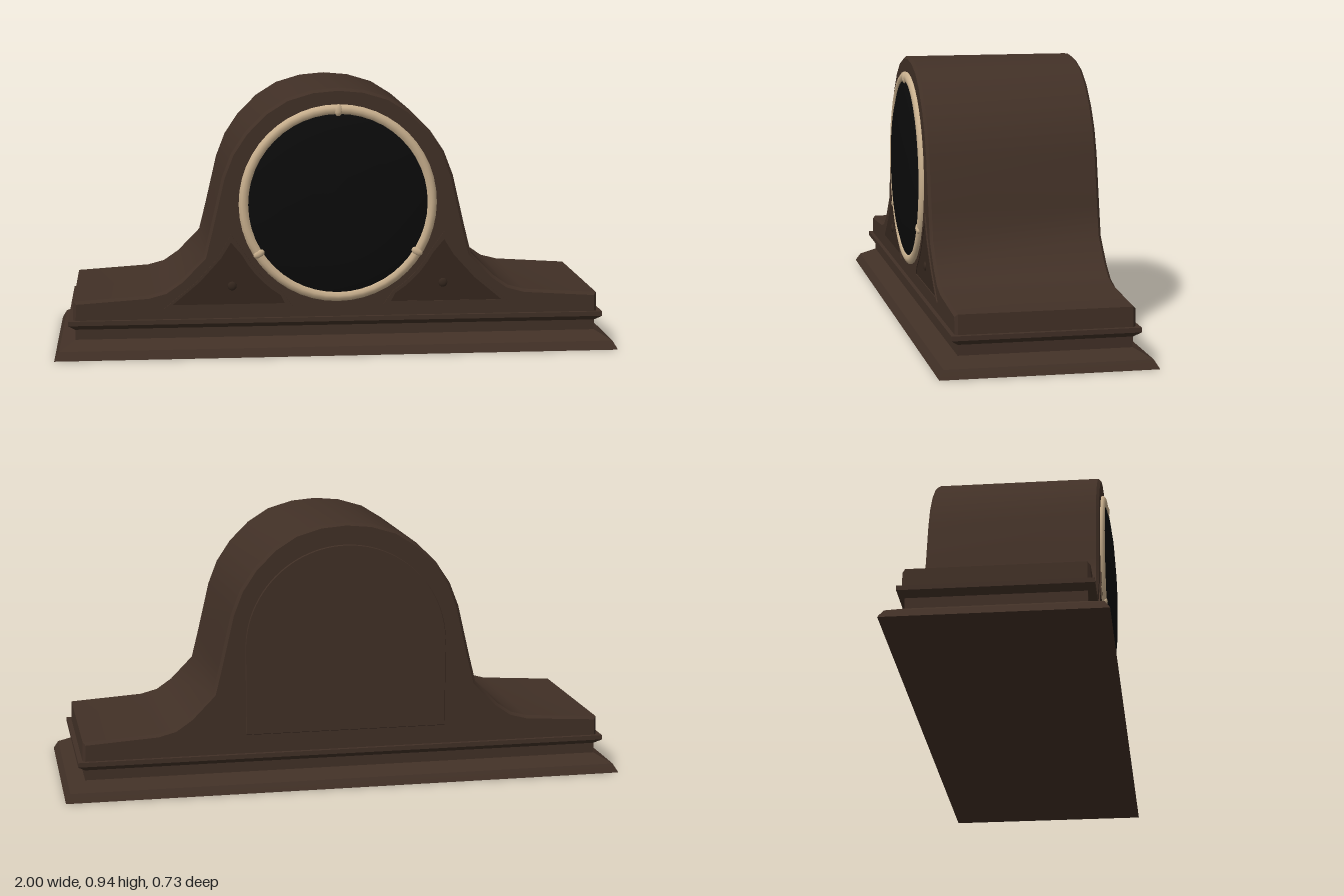
import * as THREE from 'three';
import { toCreasedNormals } from 'three/addons/utils/BufferGeometryUtils.js';

const material = (name, color) => Object.assign(new THREE.MeshStandardMaterial({ color }), { name });

// Extrude an outline forward from z, with an optional chamfer kept inside the outline
function slab(shape, z, depth, bevel = 0) {
  const geometry = new THREE.ExtrudeGeometry(shape, {
    depth: depth - 2 * bevel, bevelEnabled: bevel > 0, bevelSize: bevel,
    bevelThickness: bevel, bevelOffset: -bevel, bevelSegments: 1, curveSegments: 24,
  });
  geometry.translate(0, 0, z + bevel);
  return toCreasedNormals(geometry, 0.55);
}

// Stack of rectangular rings [y, half depth]; the half width grows with the depth
function moulding(profile, widthExtra) {
  const positions = [], index = [];
  for (const [y, d] of profile) {
    const w = d + widthExtra;
    positions.push(-w, y, d, w, y, d, w, y, -d, -w, y, -d);
  }
  for (let r = 0; r < profile.length - 1; r++) {
    for (let i = 0; i < 4; i++) {
      const a = r * 4 + i, b = r * 4 + (i + 1) % 4;
      index.push(a, b, b + 4, a, b + 4, a + 4);
    }
  }
  const t = (profile.length - 1) * 4;
  index.push(0, 2, 1, 0, 3, 2, t, t + 1, t + 2, t, t + 2, t + 3);
  const geometry = new THREE.BufferGeometry();
  geometry.setAttribute('position', new THREE.Float32BufferAttribute(positions, 3));
  geometry.setIndex(index);
  return toCreasedNormals(geometry, 0.3);
}

export function createModel() {
  const model = new THREE.Group();
  model.name = 'mantelClock';
  const wood = material('darkWood', 0x413026);
  const shadeWood = material('panelWood', 0x35271e);
  const brass = material('paleBrass', 0xc9b08e);
  const black = material('blackGlass', 0x0b0b0b);

  const add = (name, geometry, mat, parent = model) => {
    const mesh = new THREE.Mesh(geometry, mat);
    mesh.name = name;
    parent.add(mesh);
    return mesh;
  };

  // Stepped plinth
  add('plinth', moulding([
    [0, 0.365], [0.006, 0.362], [0.03, 0.348], [0.06, 0.292], [0.096, 0.292],
    [0.114, 0.316], [0.13, 0.316],
  ], 0.635), wood);

  // Humped case: half silhouette mirrored across the middle
  const half = [
    [0.935, 0.12], [0.932, 0.197], [0.67, 0.214], [0.61, 0.23], [0.555, 0.268],
    [0.475, 0.35], [0.45, 0.45], [0.408, 0.63], [0.375, 0.715], [0.325, 0.79],
    [0.255, 0.86], [0.18, 0.907], [0.09, 0.934],
  ];
  const outline = [...half, [0, 0.942], ...half.map(([x, y]) => [-x, y]).reverse()];
  const caseShape = new THREE.Shape(outline.map(([x, y]) => new THREE.Vector2(x, y)));
  add('case', slab(caseShape, -0.302, 0.604, 0.01), wood);

  // Arched door on the back
  const door = new THREE.Shape();
  door.moveTo(-0.36, 0.198);
  door.lineTo(0.36, 0.198);
  door.lineTo(0.36, 0.505);
  door.absarc(0, 0.505, 0.36, 0, Math.PI);
  door.closePath();
  add('backDoor', slab(door, -0.31, 0.015, 0.002), wood);

  // Dial: brass bezel, domed dark glass and three clasps
  const dial = new THREE.Group();
  dial.name = 'dial';
  dial.position.set(0, 0.535, 0.3);
  model.add(dial);
  const lathe = (pairs) => {
    const g = new THREE.LatheGeometry(pairs.map(([r, z]) => new THREE.Vector2(r, z)), 48);
    return g.rotateX(Math.PI / 2);
  };
  const bezelMesh = add('bezel', lathe([
    [0.35, -0.002], [0.35, 0.009], [0.34, 0.016], [0.33, 0.018], [0.318, 0.013], [0.312, 0.004],
  ]), brass, dial);
  bezelMesh.material.side = THREE.DoubleSide;
  add('glass', lathe([
    [0.318, 0.011], [0.27, 0.024], [0.2, 0.033], [0.1, 0.039], [0, 0.041],
  ]), black, dial);
  black.side = THREE.DoubleSide;
  for (const angle of [90, 212, 328]) {
    const a = THREE.MathUtils.degToRad(angle);
    const clasp = add('clasp', new THREE.SphereGeometry(0.02, 10, 8), brass, dial);
    clasp.position.set(Math.cos(a) * 0.33, Math.sin(a) * 0.33, 0.012);
    clasp.rotation.z = a;
    clasp.scale.set(1.1, 0.7, 0.5);
  }

  // Three-sided ornaments beside the dial: a thin panel, raised rim and small boss
  const corner = (side, inset) => {
    const r = 0.372 + inset;
    const start = new THREE.Vector2(0.16 + inset * 2.4, 0.168 + inset);
    const points = [start, new THREE.Vector2(0.615 - inset * 2.4, 0.168 + inset)];
    points.push(new THREE.Vector2(0.5 - inset, 0.262), new THREE.Vector2(0.425 - inset, 0.345));
    points.push(new THREE.Vector2(0.378, 0.43 - inset * 2.4));
    for (let deg = -28; deg >= -58; deg -= 6) {
      const a = THREE.MathUtils.degToRad(deg);
      points.push(new THREE.Vector2(Math.cos(a) * r, 0.535 + Math.sin(a) * r));
    }
    return points.map((p) => new THREE.Vector2(p.x * side, p.y));
  };
  for (const side of [1, -1]) {
    const ornament = new THREE.Group();
    ornament.name = side > 0 ? 'leftOrnament' : 'rightOrnament';
    model.add(ornament);
    const rim = new THREE.Shape(corner(side, 0));
    rim.holes.push(new THREE.Path(corner(side, 0.012)));
    add('rim', slab(rim, 0.3, 0.006), wood, ornament);
    add('panel', slab(new THREE.Shape(corner(side, 0.012)), 0.3, 0.003), shadeWood, ornament);
    const boss = add('boss', new THREE.SphereGeometry(0.016, 10, 8), shadeWood, ornament);
    boss.position.set(0.375 * side, 0.245, 0.303);
    boss.scale.z = 0.4;
  }
  return model;
}
